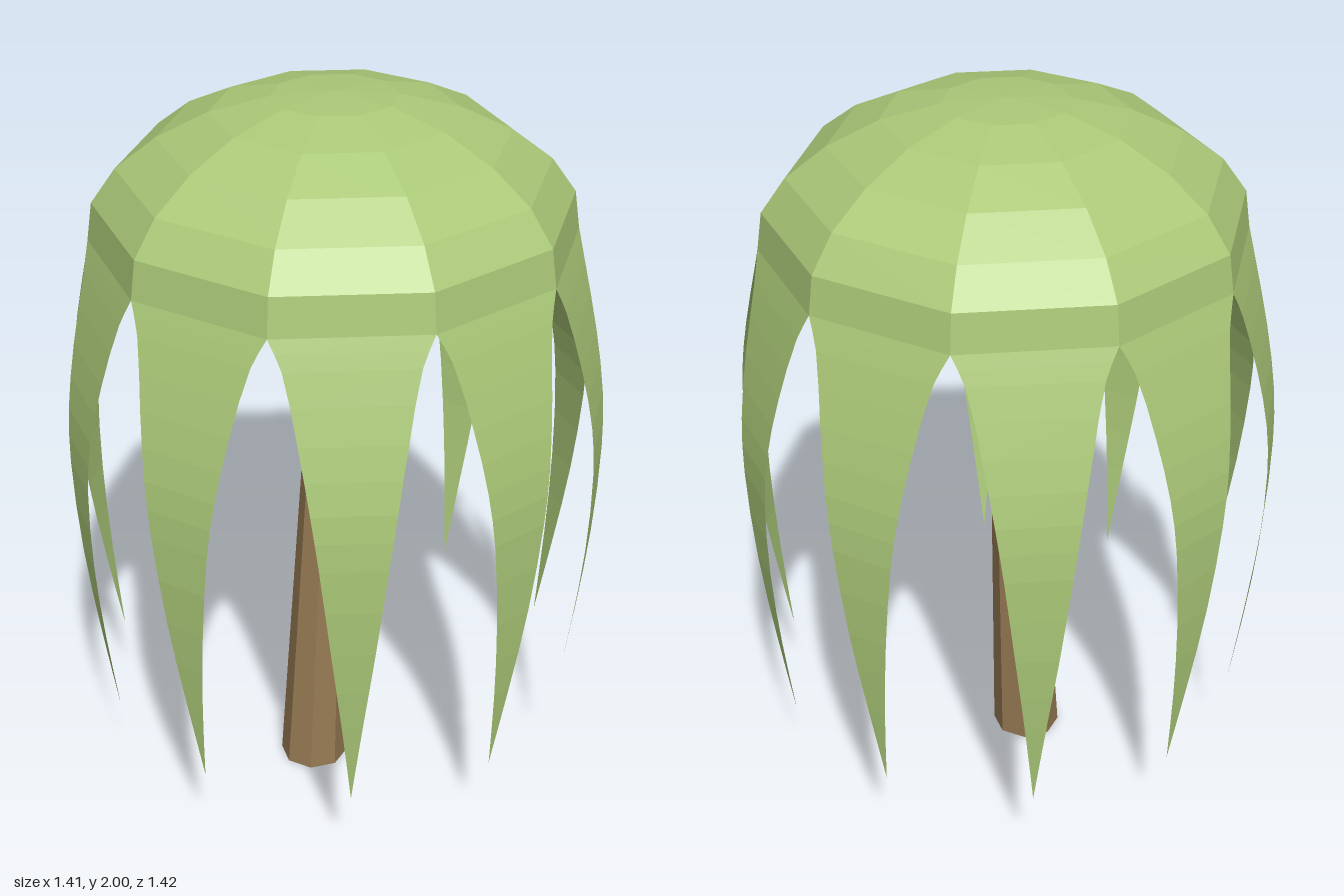
import * as THREE from 'three';

const SIDES = 10;
const STEP = (Math.PI * 2) / SIDES;

// One hanging frond: flat across its width, curved down its length.
// Control points are (half width, height, distance from axis).
function frondGeometry() {
  const curve = new THREE.CatmullRomCurve3([
    [0.195, 1.62, 0.6], [0.163, 1.545, 0.624], [0.13, 1.37, 0.67],
    [0.104, 1.2, 0.702], [0.084, 1.05, 0.712], [0.055, 0.8, 0.703],
    [0.026, 0.55, 0.677], [0, 0.3, 0.643],
  ].map((p) => new THREE.Vector3(...p)));
  const rows = 14;
  const positions = [];
  const index = [];
  for (let i = 0; i <= rows; i++) {
    const p = curve.getPoint(i / rows);
    positions.push(-p.x, p.y, p.z, p.x, p.y, p.z);
    if (i < rows) {
      const a = i * 2;
      index.push(a, a + 2, a + 1);
      if (i < rows - 1) index.push(a + 1, a + 2, a + 3);
    }
  }
  const geometry = new THREE.BufferGeometry();
  geometry.setAttribute('position', new THREE.Float32BufferAttribute(positions, 3));
  geometry.setIndex(index);
  geometry.computeVertexNormals();
  return geometry;
}

// Ten-sided dome; the profile is given at the middle of each flat side.
function domeGeometry() {
  const profile = [
    [0.6, 1.62], [0.586, 1.72], [0.525, 1.81], [0.425, 1.89],
    [0.3, 1.952], [0.155, 1.99], [0, 2],
  ].map(([r, y]) => new THREE.Vector2(r / Math.cos(STEP / 2), y));
  return new THREE.LatheGeometry(profile, SIDES, STEP / 2);
}

// Tapered eight-sided trunk, leaning from its foot to the middle of the crown.
function trunkGeometry() {
  const height = 1.59;
  const geometry = new THREE.CylinderGeometry(0.046, 0.095, height, 8, 1);
  geometry.translate(0, height / 2, 0);
  const pos = geometry.attributes.position;
  for (let i = 0; i < pos.count; i++) {
    pos.setX(i, pos.getX(i) - 0.08 * (1 - pos.getY(i) / height));
  }
  geometry.computeVertexNormals();
  return geometry;
}

export function createModel() {
  const model = new THREE.Group();
  model.name = 'weepingTree';

  const leafMaterial = new THREE.MeshStandardMaterial({
    color: 0xabc978, flatShading: true, side: THREE.DoubleSide,
  });
  const barkMaterial = new THREE.MeshStandardMaterial({ color: 0x967a53, flatShading: true });

  const trunk = new THREE.Mesh(trunkGeometry(), barkMaterial);
  trunk.name = 'trunk';
  model.add(trunk);

  const crown = new THREE.Group();
  crown.name = 'crown';
  model.add(crown);

  const dome = new THREE.Mesh(domeGeometry(), leafMaterial);
  dome.name = 'dome';
  crown.add(dome);

  // One frond below each side of the dome
  const frond = frondGeometry();
  for (let i = 0; i < SIDES; i++) {
    const mesh = new THREE.Mesh(frond, leafMaterial);
    mesh.name = `frond${i + 1}`;
    mesh.rotation.y = i * STEP;
    crown.add(mesh);
  }

  return model;
}
